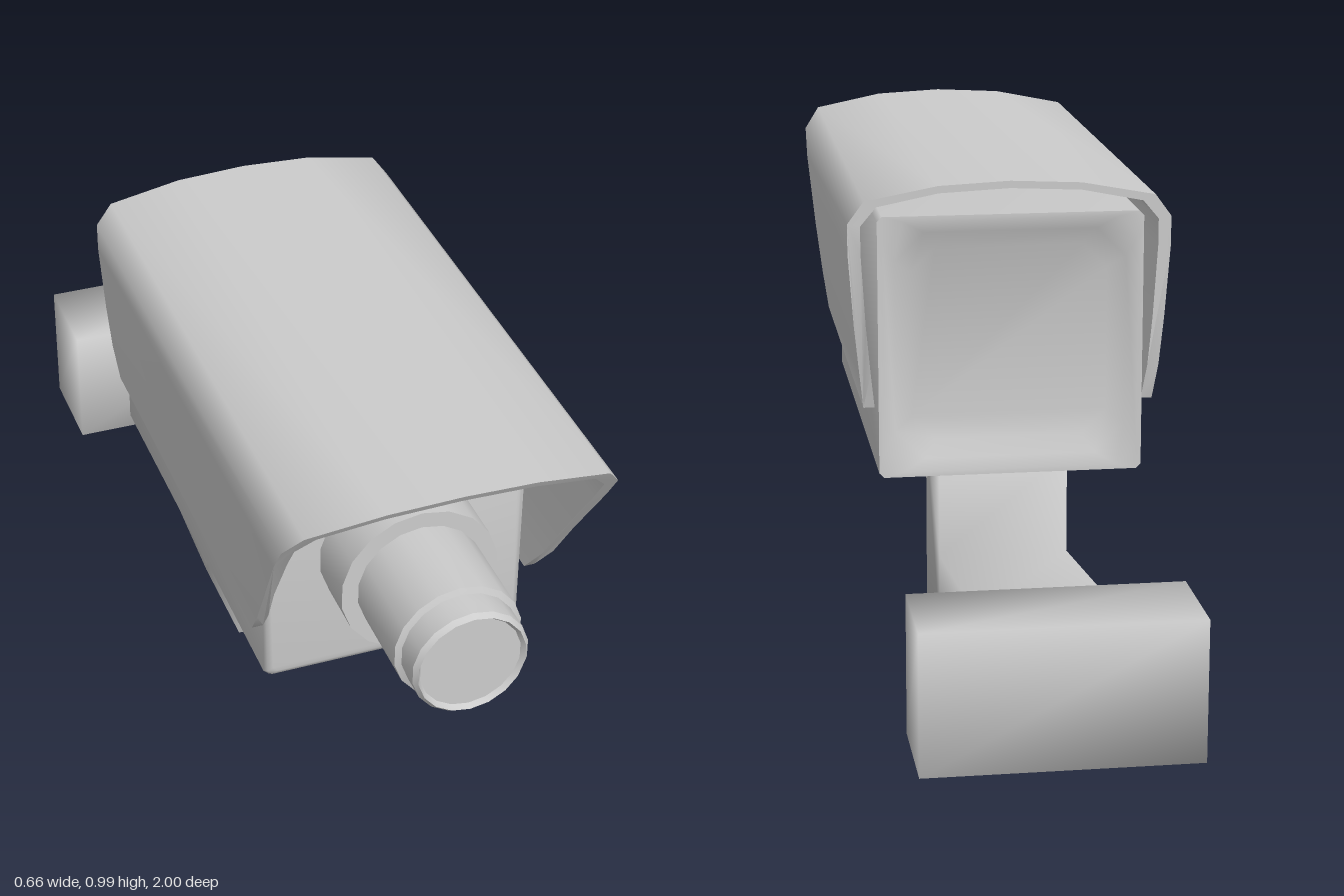
import * as THREE from 'three';
import { mergeVertices, toCreasedNormals } from 'three/addons/utils/BufferGeometryUtils.js';

const grey = new THREE.MeshStandardMaterial({ color: 0xcccccc, side: THREE.DoubleSide });

function addPart(group, name, geometry) {
  const mesh = new THREE.Mesh(geometry, grey);
  mesh.name = name;
  group.add(mesh);
  return mesh;
}

// Share corners so that the shading runs softly over the edges
function soften(geometry) {
  geometry.deleteAttribute('normal');
  geometry.deleteAttribute('uv');
  const welded = mergeVertices(geometry, 1e-4);
  welded.computeVertexNormals();
  return welded;
}

// Loft of rectangles with cut corners: each ring is [z, halfWidth, halfHeight, corner]
function loftRings(rings) {
  const positions = [], index = [], n = 8;
  for (const [z, w, h, c] of rings) {
    const outline = [[w, -h + c], [w, h - c], [w - c, h], [-w + c, h],
      [-w, h - c], [-w, -h + c], [-w + c, -h], [w - c, -h]];
    for (const [x, y] of outline) positions.push(x, y, z);
  }
  for (let k = 0; k < rings.length - 1; k++) {
    for (let i = 0; i < n; i++) {
      const a = k * n + i, b = k * n + (i + 1) % n;
      index.push(a, b, b + n, a, b + n, a + n);
    }
  }
  const last = (rings.length - 1) * n;
  for (let i = 1; i < n - 1; i++) {
    index.push(0, i + 1, i, last, last + i, last + i + 1);
  }
  const geometry = new THREE.BufferGeometry();
  geometry.setAttribute('position', new THREE.Float32BufferAttribute(positions, 3));
  geometry.setIndex(index);
  return geometry;
}

// Piecewise linear lookup in [y, z] pairs
function lookup(table, y) {
  for (let i = 1; i < table.length; i++) {
    const [y0, z0] = table[i - 1], [y1, z1] = table[i];
    if (y <= y1 || i === table.length - 1) {
      return THREE.MathUtils.lerp(z0, z1, THREE.MathUtils.clamp((y - y0) / (y1 - y0), 0, 1));
    }
  }
}

function hoodGeometry() {
  // Right half of the sheet, from the lower edge to the ridge
  const outer = [[0.298, 0.525], [0.307, 0.6], [0.317, 0.7], [0.328, 0.85],
    [0.328, 0.91], [0.295, 0.955], [0.145, 0.983], [0, 0.99]];
  const inner = [[0.275, 0.525], [0.284, 0.6], [0.293, 0.7], [0.302, 0.85],
    [0.302, 0.905], [0.27, 0.943], [0.145, 0.968], [0, 0.975]];
  const arch = (half) => [...half, ...half.slice(0, -1).reverse().map(([x, y]) => [-x, y])];
  const outline = [...arch(outer), ...arch(inner).reverse()];
  const shape = new THREE.Shape(outline.map(([x, y]) => new THREE.Vector2(x, y)));
  const geometry = new THREE.ExtrudeGeometry(shape, { depth: 1, bevelEnabled: false });

  // Slant the ends: long at the ridge, short at the lower edge
  const front = [[0.525, 0.62], [0.6, 0.68], [0.7, 0.74], [0.85, 0.84], [0.91, 0.88],
    [0.955, 0.91], [0.99, 0.93]];
  const back = [[0.525, -0.28], [0.6, -0.3], [0.99, -0.305]];
  const p = geometry.attributes.position;
  for (let i = 0; i < p.count; i++) {
    p.setZ(i, lookup(p.getZ(i) > 0.5 ? front : back, p.getY(i)));
  }
  return toCreasedNormals(geometry, 0.9);
}

export function createModel() {
  const model = new THREE.Group();
  model.name = 'securityCamera';

  // Housing with a recessed rear panel and bevelled front
  const housing = loftRings([
    [-0.285, 0.2, 0.2, 0.05],
    [-0.305, 0.235, 0.235, 0.06],
    [-0.315, 0.26, 0.26, 0.04],
    [-0.315, 0.27, 0.27, 0.01],
    [0.605, 0.27, 0.27, 0.01],
    [0.615, 0.265, 0.265, 0.01],
    [0.62, 0.255, 0.255, 0.01],
  ]);
  addPart(model, 'housing', toCreasedNormals(housing, 0.9)).position.y = 0.655;

  // Sun hood
  addPart(model, 'sunHood', hoodGeometry());

  // Stepped lens barrel
  const profile = [[0.16, 0.6], [0.16, 0.74], [0.127, 0.74], [0.127, 0.93],
    [0.115, 0.935], [0.115, 0.99], [0.107, 1], [0.1, 0.99], [0, 0.99]];
  const lens = new THREE.LatheGeometry(profile.map(([r, z]) => new THREE.Vector2(r, z)), 18);
  lens.rotateX(Math.PI / 2);
  addPart(model, 'lensBarrel', toCreasedNormals(lens, 0.6)).position.y = 0.655;

  // Indicator light
  const light = addPart(model, 'indicatorLight', new THREE.SphereGeometry(0.025, 16, 12));
  light.position.set(-0.187, 0.847, 0.62);

  // Post and sloping arm, drawn from the side as [z, y]
  const side = [[0.035, 0.39], [0.035, 0], [-0.205, 0], [-0.79, 0.075],
    [-0.79, 0.255], [-0.205, 0.175], [-0.205, 0.39]];
  const arm = new THREE.ExtrudeGeometry(
    new THREE.Shape(side.map(([z, y]) => new THREE.Vector2(-z, y))),
    { depth: 0.27, bevelEnabled: false });
  arm.translate(0, 0, -0.135);
  arm.rotateY(Math.PI / 2);
  addPart(model, 'mountingArm', soften(arm));

  // Wall block
  const wall = addPart(model, 'wallBlock', soften(new THREE.BoxGeometry(0.535, 0.28, 0.215)));
  wall.position.set(0, 0.162, -0.8925);
  wall.position.set(0, 0.16, -0.89);

  return model;
}
